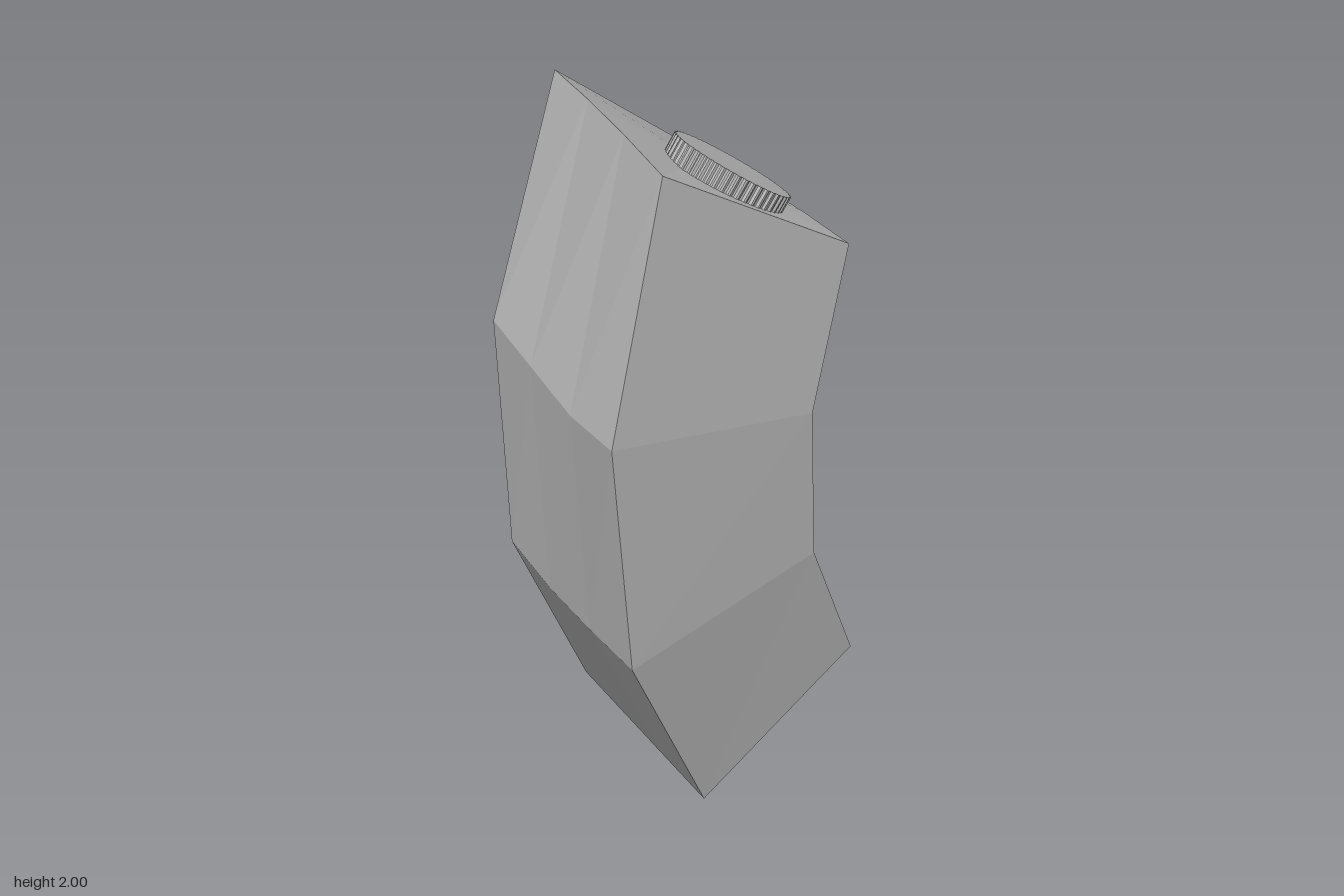
import * as THREE from 'three';

// Corner rings from bottom to top: front-left, front-right, back-right, back-left (as seen from the front).
// "dip" bends the side edges at one third and two thirds of the way back.
const RINGS = [
  { c: [[-0.08, 0, 0.26], [0.415, 0.36, 0.29], [0.388, 0.455, -0.32], [-0.11, 0.1, -0.35]], dip: [0, 0] },
  { c: [[-0.365, 0.6, 0.338], [0.222, 0.765, 0.34], [0.218, 0.835, -0.27], [-0.385, 0.7, -0.27]], dip: [-0.015, -0.02] },
  { c: [[-0.42, 1.26, 0.348], [0.19, 1.2, 0.348], [0.204, 1.275, -0.27], [-0.403, 1.38, -0.275]], dip: [-0.03, -0.015] },
  { c: [[-0.24, 1.9, 0.3], [0.312, 1.63, 0.315], [0.36, 1.667, -0.31], [-0.155, 2, -0.34]], dip: [0.008, 0.008] },
];

// Eight-point outline: the four corners plus two points along each side
function outline({ c, dip }) {
  const [fl, fr, br, bl] = c.map((p) => new THREE.Vector3(...p));
  const along = (a, b, i) => {
    const p = a.clone().lerp(b, (i + 1) / 3);
    p.y += dip[i];
    return p;
  };
  return [fl, fr, along(fr, br, 0), along(fr, br, 1), br, bl, along(fl, bl, 1), along(fl, bl, 0)];
}

// Bent square bar lofted through the rings, faceted, with both ends closed
function bodyGeometry() {
  const rings = RINGS.map(outline);
  const n = rings[0].length;
  const tris = [];
  for (let r = 0; r + 1 < rings.length; r++) {
    for (let i = 0; i < n; i++) {
      const j = (i + 1) % n;
      const lo = rings[r], hi = rings[r + 1];
      tris.push(lo[i], lo[j], hi[j], lo[i], hi[j], hi[i]);
    }
  }
  const cap = (ring, up) => {
    const mid = new THREE.Vector3();
    [0, 1, 4, 5].forEach((k) => mid.addScaledVector(ring[k], 0.25));
    for (let i = 0; i < n; i++) {
      const a = ring[i], b = ring[(i + 1) % n];
      tris.push(mid, up ? a : b, up ? b : a);
    }
  };
  cap(rings[0], false);
  cap(rings[rings.length - 1], true);
  const geo = new THREE.BufferGeometry().setFromPoints(tris);
  geo.computeVertexNormals();
  return geo;
}

// Disc with a finely ridged rim, rising along +z
function buttonGeometry(radius, height, teeth) {
  const points = [];
  for (let i = 0; i < teeth * 4; i++) {
    const a = (i / (teeth * 4)) * Math.PI * 2;
    const r = radius - (i % 4 < 2 ? 0 : 0.005);
    points.push(new THREE.Vector2(Math.cos(a) * r, Math.sin(a) * r));
  }
  return new THREE.ExtrudeGeometry(new THREE.Shape(points), { depth: height, bevelEnabled: false });
}

export function createModel() {
  const group = new THREE.Group();
  group.name = 'bentBarWithButton';
  const grey = new THREE.MeshStandardMaterial({ color: 0xb3b3b3 });
  grey.name = 'grey';

  const body = new THREE.Mesh(bodyGeometry(), grey);
  body.name = 'bentBody';
  group.add(body);

  // Round button standing on the sloping top face, its base sunk slightly
  const normal = new THREE.Vector3(0.483, 0.863, 0.147).normalize();
  const height = 0.07;
  const button = new THREE.Mesh(buttonGeometry(0.167, height, 48), grey);
  button.name = 'topButton';
  button.quaternion.setFromUnitVectors(new THREE.Vector3(0, 0, 1), normal);
  button.position.set(0.087, 1.825, 0.12).addScaledVector(normal, -height);
  group.add(button);
  return group;
}
